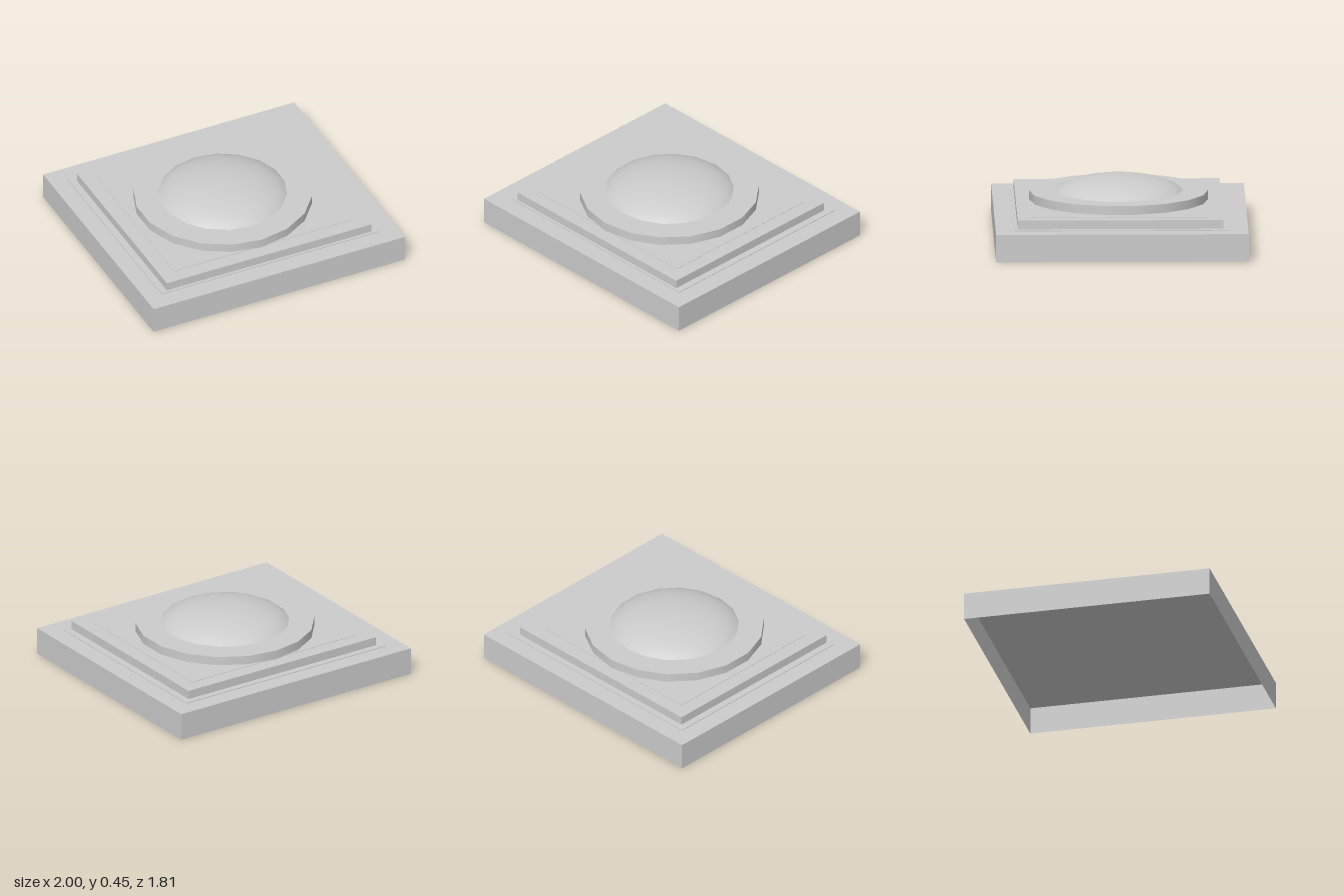
import * as THREE from 'three';

const material = new THREE.MeshStandardMaterial({ color: 0xcccccc, side: THREE.DoubleSide });
const CX = -0.015, CZ = 0.01; // shared centre of the raised tiers

export function createModel() {
  const group = new THREE.Group();

  const add = (name, geometry, x, y, z) => {
    const mesh = new THREE.Mesh(geometry, material);
    mesh.name = name;
    mesh.position.set(x, y, z);
    group.add(mesh);
  };

  // Box without its underside, from y0 to y1
  const openBox = (name, width, depth, y0, y1, x = 0, z = 0) => {
    const geometry = new THREE.BoxGeometry(width, y1 - y0, depth);
    const index = Array.from(geometry.index.array);
    index.splice(18, 6); // drop the bottom face
    geometry.setIndex(index);
    geometry.clearGroups();
    add(name, geometry, x, (y0 + y1) / 2, z);
  };

  // Hollow base and the stepped rectangular tiers
  openBox('base', 2, 1.81, 0, 0.2);
  openBox('lowerTrim', 1.735, 1.545, 0.2, 0.205, -0.003, -0.003);
  openBox('upperTier', 1.63, 1.475, 0.205, 0.268, -0.003, CZ);
  openBox('upperTrim', 1.415, 1.26, 0.268, 0.271, -0.003, CZ);

  // Round drum carrying the dome
  const drumHeight = 0.067;
  add('drum', new THREE.CylinderGeometry(0.642, 0.642, drumHeight, 18), CX, 0.268 + drumHeight / 2, CZ);

  // Shallow elliptical dome
  const profile = [];
  const rimAngle = 1.255, a = 0.486, b = 0.16, steps = 8;
  for (let i = steps; i >= 0; i--) {
    const t = (rimAngle * i) / steps;
    profile.push(new THREE.Vector2(a * Math.sin(t), b * (Math.cos(t) - Math.cos(rimAngle))));
  }
  add('dome', new THREE.LatheGeometry(profile, 18), CX, 0.335, CZ);

  return group;
}
